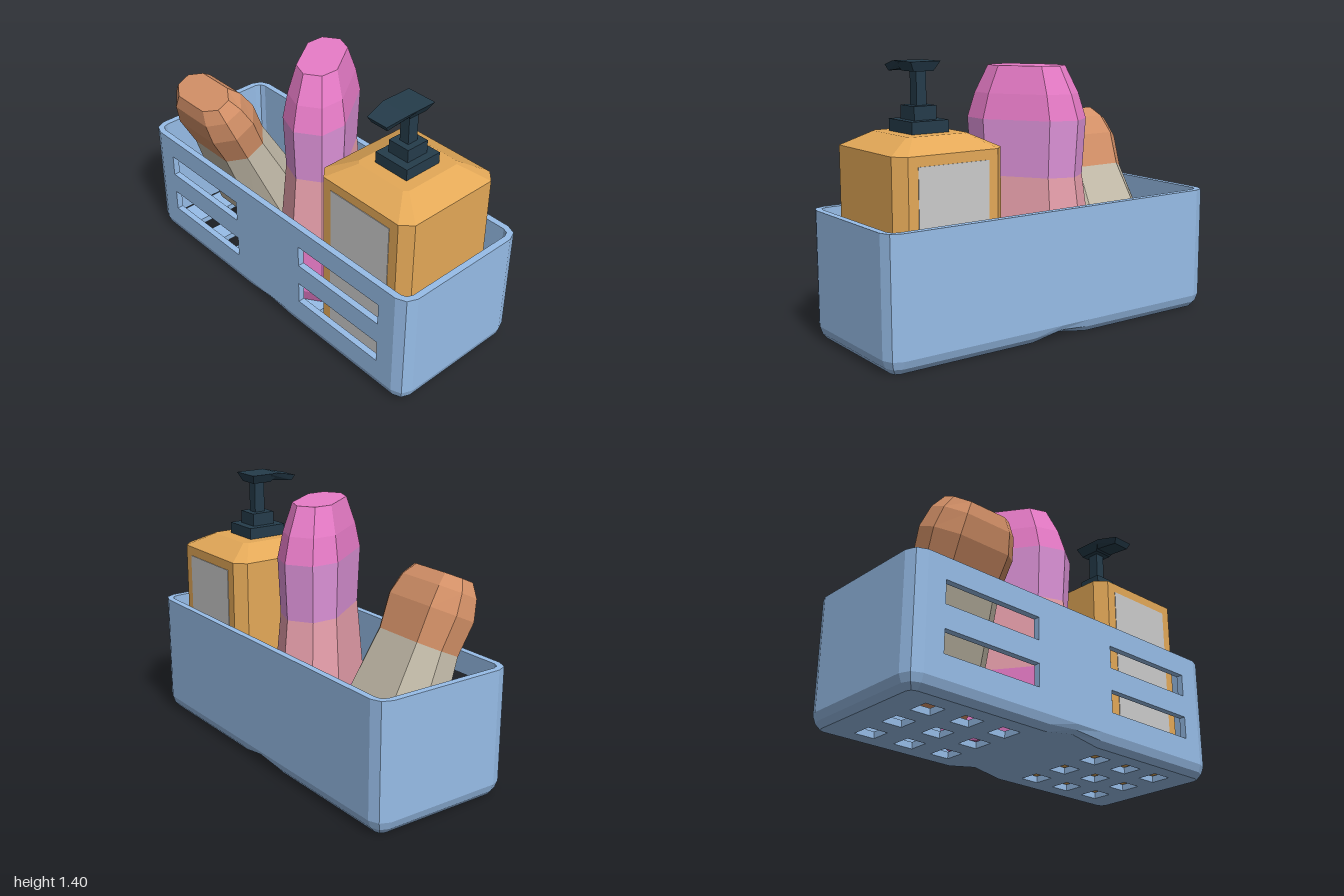
import * as THREE from 'three';
import { ConvexGeometry } from 'three/addons/geometries/ConvexGeometry.js';

const BLUE = 0x97bde8, AMBER = 0xe4a958, PINK = 0xe87cc8, LILAC = 0xdf94da, ROSE = 0xe8a0ac;
const BROWN = 0xd39067, SAND = 0xc2baa8, DARK = 0x253c4b, GREY = 0xcccccc;

function mesh(name, geometry, color) {
  const m = new THREE.Mesh(geometry, new THREE.MeshStandardMaterial({ color, flatShading: true }));
  m.name = name;
  return m;
}

// Joins rings of [x, y, z] points (counter-clockwise from above, going up)
function loft(rings, { bottom = false, top = false, skip = () => false } = {}) {
  const pos = [], n = rings[0].length;
  const tri = (a, b, c) => pos.push(...a, ...b, ...c);
  for (let l = 0; l < rings.length - 1; l++) {
    for (let i = 0; i < n; i++) {
      if (skip(l, i)) continue;
      const j = (i + 1) % n, a = rings[l], b = rings[l + 1];
      tri(a[i], a[j], b[j]);
      tri(a[i], b[j], b[i]);
    }
  }
  for (let i = 1; i < n - 1; i++) {
    const a = rings[0], b = rings[rings.length - 1];
    if (bottom) tri(a[0], a[i + 1], a[i]);
    if (top) tri(b[0], b[i], b[i + 1]);
  }
  const g = new THREE.BufferGeometry();
  g.setAttribute('position', new THREE.Float32BufferAttribute(pos, 3));
  g.computeVertexNormals();
  return g;
}

// Eight-sided section with flat half-lengths fx and fz
const octagon = (y, hx, hz, fx, fz) => [
  [hx, -fz], [fx, -hz], [-fx, -hz], [-hx, -fz], [-hx, fz], [-fx, hz], [fx, hz], [hx, fz],
].map(([x, z]) => [x, y, z]);

// Bottle made of stacked bands, each [rings, color]
function bandedBottle(name, bands) {
  const g = new THREE.Group();
  g.name = name;
  bands.forEach(([rings, color], i) => g.add(mesh(name + 'Band' + (i + 1),
    loft(rings, { bottom: i === 0, top: i === bands.length - 1 }), color)));
  return g;
}

// ---- Caddy ----
const HX = 1, HZ = 0.395, R = 0.075, H = 0.665, WALL = 0.035, NOTCH = 0.17;

// Rounded rectangle with three extra points along each long side
function caddyRing(y, inset, lift = 0) {
  const r = R - inset, cx = HX - R, cz = HZ - R, pts = [];
  const corner = (sx, sz, start) => {
    for (let k = 0; k < 3; k++) {
      const t = start + k * Math.PI / 4;
      pts.push([sx * cx + r * Math.cos(t), y, sz * cz - r * Math.sin(t)]);
    }
  };
  const side = (s, dir) => [-1, 0, 1].forEach(k =>
    pts.push([k * dir * NOTCH, y + (k === 0 ? lift : 0), s * (HZ - inset)]));
  corner(1, -1, 0);
  side(-1, -1);
  corner(-1, -1, Math.PI / 2);
  corner(-1, 1, Math.PI);
  side(1, 1);
  corner(1, 1, Math.PI * 1.5);
  return pts;
}

function rectPath(x0, y0, x1, y1) {
  return new THREE.Path([[x0, y0], [x0, y1], [x1, y1], [x1, y0]].map(p => new THREE.Vector2(...p)));
}

function buildCaddy() {
  const g = new THREE.Group();
  g.name = 'caddy';
  const floorTop = 0.035, lip = 0.07;

  // Walls, leaving the front open for the slotted panel
  g.add(mesh('caddyWalls', loft([
    caddyRing(0, 0.04, 0.028), caddyRing(0.03, 0.014, 0.014), caddyRing(lip, 0), caddyRing(H, 0),
    caddyRing(H, WALL), caddyRing(lip, WALL), caddyRing(floorTop, WALL),
  ], { skip: (l, i) => l >= 2 && l <= 4 && i >= 11 && i <= 14 }), BLUE));

  // Front panel with four slots
  const panel = new THREE.Shape([[-HX + R, lip], [HX - R, lip], [HX - R, H], [-HX + R, H]]
    .map(p => new THREE.Vector2(...p)));
  for (const x of [-0.82, 0.25])
    for (const y of [0.19, 0.43]) panel.holes.push(rectPath(x, y, x + 0.57, y + 0.12));
  const front = mesh('frontPanel', new THREE.ExtrudeGeometry(panel, { depth: WALL, bevelEnabled: false }), BLUE);
  front.position.z = HZ - WALL;
  g.add(front);

  // Floor halves with drain holes
  const outline = caddyRing(0, 0.04).filter(p => p[0] > 0.1).map(([x, , z]) => new THREE.Vector2(x, -z));
  const half = new THREE.Shape(outline);
  for (const x of [0.305, 0.53, 0.755])
    for (const z of [-0.215, 0, 0.21]) half.holes.push(rectPath(x - 0.055, z - 0.055, x + 0.055, z + 0.055));
  const floorGeo = new THREE.ExtrudeGeometry(half, { depth: floorTop, bevelEnabled: false });
  floorGeo.rotateX(-Math.PI / 2);
  for (const turn of [0, Math.PI]) {
    const floor = mesh(turn ? 'floorRight' : 'floorLeft', floorGeo, BLUE);
    floor.rotation.y = turn;
    g.add(floor);
  }

  // Middle of the floor, creased upward
  const mid = new THREE.BoxGeometry(2 * NOTCH, floorTop, 2 * (HZ - 0.04), 2, 1, 1);
  mid.translate(0, floorTop / 2, 0);
  const p = mid.attributes.position;
  for (let i = 0; i < p.count; i++) if (Math.abs(p.getX(i)) < 0.01) p.setY(i, p.getY(i) + 0.028);
  g.add(mesh('floorMiddle', mid, BLUE));
  return g;
}

// ---- Pump bottle ----
function buildPumpBottle() {
  const g = new THREE.Group();
  g.name = 'pumpBottle';
  g.position.x = 0.593;
  const hx = 0.303, hz = 0.31, c = 0.055;
  g.add(mesh('pumpBottleBody', loft([
    octagon(0.04, hx, hz, hx - c, hz - c), octagon(0.99, hx, hz, hx - c, hz - c),
    octagon(1.06, 0.165, 0.18, 0.145, 0.16),
  ], { bottom: true, top: true }), AMBER));
  for (const s of [1, -1]) {
    const label = mesh(s > 0 ? 'frontLabel' : 'backLabel', new THREE.BoxGeometry(0.39, 0.82, 0.006), GREY);
    label.position.set(0, 0.53, s * hz);
    g.add(label);
  }

  // Collar, neck and stem
  const box = (name, w, y0, y1, d) => {
    const m = mesh(name, new THREE.BoxGeometry(w, y1 - y0, d), DARK);
    m.position.set(0, (y0 + y1) / 2, 0.004);
    g.add(m);
  };
  box('pumpCollar', 0.205, 1.06, 1.12, 0.22);
  box('pumpNeck', 0.125, 1.12, 1.188, 0.13);
  box('pumpStem', 0.055, 1.188, 1.36, 0.06);

  // Head and spout from mirrored corner points [x, y, z]
  const hull = (name, corners) => g.add(mesh(name, new ConvexGeometry(corners.flatMap(([x, y, z]) =>
    [new THREE.Vector3(x, y, z), new THREE.Vector3(-x, y, z)])), DARK));
  hull('pumpHead', [[0.083, 1.4, -0.07], [0.083, 1.4, 0.1], [0.055, 1.352, -0.05], [0.055, 1.352, 0.06]]);
  hull('pumpSpout', [[0.083, 1.4, 0.1], [0.055, 1.365, 0.04], [0.083, 1.395, 0.05],
    [0.062, 1.375, 0.217], [0.05, 1.345, 0.2]]);
  return g;
}

// ---- Tall oval bottle, turned in the caddy ----
function buildTallBottle() {
  const ring = (y, s) => octagon(y, 0.187 * s, 0.352 * s, 0.085 * s, 0.21 * s);
  const b = bandedBottle('tallBottle', [
    [[ring(0.04, 0.92), ring(0.12, 1), ring(0.4, 0.95)], PINK],
    [[ring(0.4, 0.95), ring(0.8, 0.8)], ROSE],
    [[ring(0.8, 0.8), ring(1.09, 0.85)], LILAC],
    [[ring(1.09, 0.85), ring(1.22, 0.74), ring(1.36, 0.55)], PINK],
  ]);
  b.position.set(-0.037, 0, -0.025);
  b.rotation.y = 0.6;
  return b;
}

// ---- Squat bottle, leaning forward ----
function buildLeaningBottle() {
  const ring = (y, hx, hz) => octagon(y, hx, hz, hx * 0.6, hz * 0.42);
  const waist = ring(0.52, 0.23, 0.14), base = ring(0, 0.29, 0.19);
  const b = bandedBottle('leaningBottle', [
    [[ring(-0.16, 0.24, 0.14), base], BROWN],
    [[base, waist], SAND],
    [[waist, ring(0.7, 0.247, 0.15), ring(0.81, 0.22, 0.128), ring(0.877, 0.175, 0.09)], BROWN],
  ]);
  b.position.set(-0.587, 0.25, -0.05);
  b.rotation.x = 0.436;
  return b;
}

export function createModel() {
  const model = new THREE.Group();
  model.name = 'bathCaddy';
  model.add(buildCaddy(), buildPumpBottle(), buildTallBottle(), buildLeaningBottle());
  return model;
}
